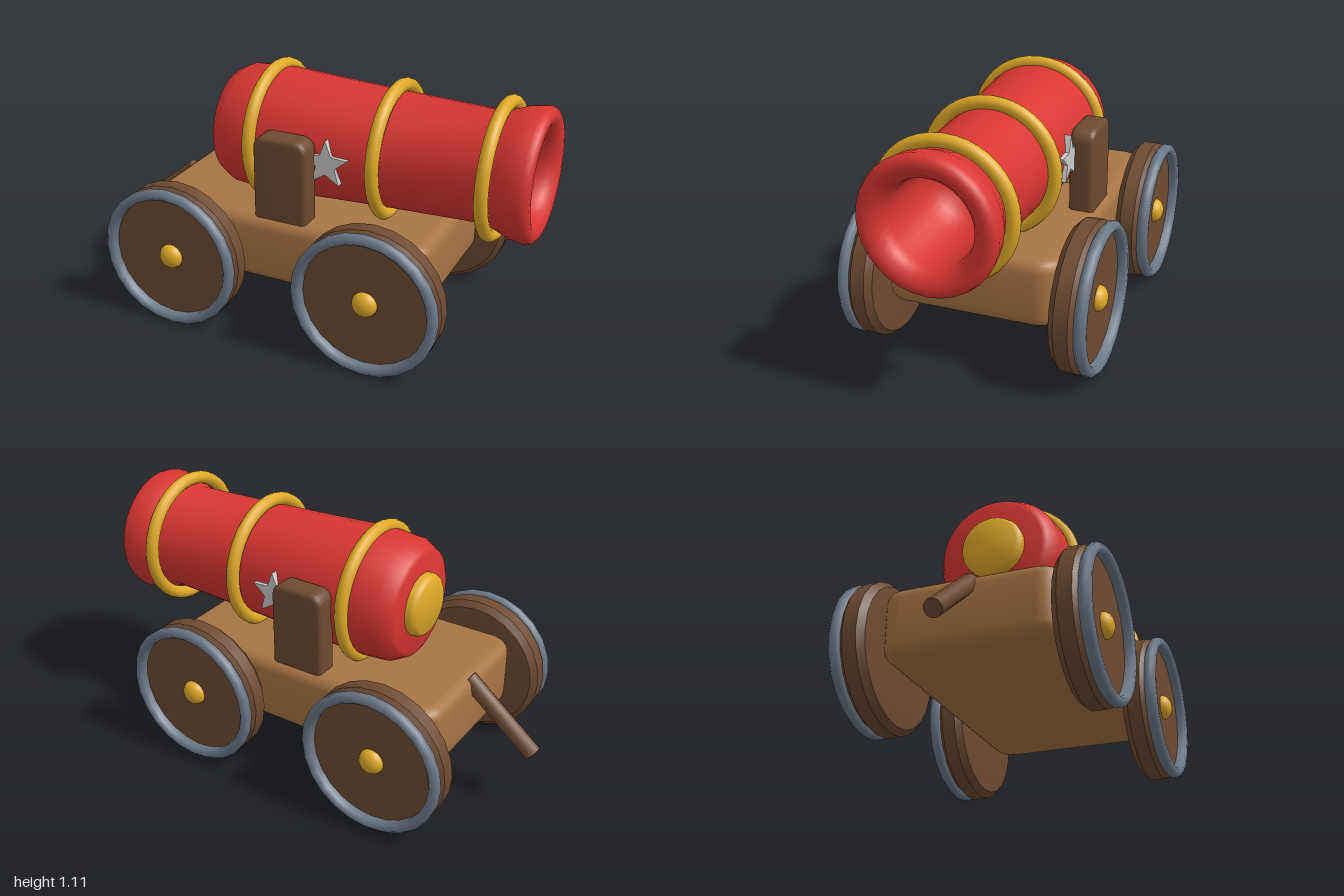
import * as THREE from 'three';
import { toCreasedNormals } from 'three/addons/utils/BufferGeometryUtils.js';

const mat = (color) => new THREE.MeshStandardMaterial({ color });
const red = mat(0xd93632), gold = mat(0xe0aa28), wood = mat(0xa87544);
const darkWood = mat(0x6e4a31), iron = mat(0x6c7887), silver = mat(0xcccccc);

function part(parent, name, geometry, material, x = 0, y = 0, z = 0) {
  const mesh = new THREE.Mesh(geometry, material);
  mesh.name = name;
  mesh.position.set(x, y, z);
  parent.add(mesh);
  return mesh;
}

// Turned solid around y from [radius, height] pairs, going up on the outside
function turned(points, sides, crease = 0.6) {
  const profile = points.map(([r, h]) => new THREE.Vector2(r, h));
  return toCreasedNormals(new THREE.LatheGeometry(profile, sides), crease);
}

// Rounded slab w by h, thickness d along z, with soft bevelled edges, centred
function slab(w, h, d, radius, bevel) {
  const a = w / 2 - bevel, b = h / 2 - bevel, r = Math.max(radius - bevel, 0.005);
  const s = new THREE.Shape();
  s.absarc(a - r, b - r, r, 0, Math.PI / 2);
  s.absarc(-a + r, b - r, r, Math.PI / 2, Math.PI);
  s.absarc(-a + r, -b + r, r, Math.PI, Math.PI * 1.5);
  s.absarc(a - r, -b + r, r, Math.PI * 1.5, Math.PI * 2);
  const g = new THREE.ExtrudeGeometry(s, {
    depth: d - 2 * bevel, bevelEnabled: true, bevelSize: bevel,
    bevelThickness: bevel, bevelSegments: 4, curveSegments: 6,
  });
  g.translate(0, 0, -d / 2 + bevel);
  return toCreasedNormals(g, 0.7);
}

function starGeometry(outer, inner, depth) {
  const s = new THREE.Shape();
  for (let i = 0; i < 10; i++) {
    const r = i % 2 ? inner : outer, t = Math.PI / 2 + (i * Math.PI) / 5;
    s[i ? 'lineTo' : 'moveTo'](r * Math.cos(t), r * Math.sin(t));
  }
  s.closePath();
  return new THREE.ExtrudeGeometry(s, { depth, bevelEnabled: false });
}

// Wheel with its axle along z, outer face towards +z
function makeWheel() {
  const wheel = new THREE.Group();
  wheel.name = 'wheel';
  const disc = turned([[0, -0.08], [0.27, -0.08], [0.295, -0.077], [0.32, -0.05],
    [0.32, 0.01], [0.295, 0.035], [0, 0.035]], 24);
  part(wheel, 'wheelDisc', disc.rotateX(Math.PI / 2), darkWood);
  const tyre = turned([[0.278, 0.025], [0.305, 0.028], [0.32, 0.042], [0.32, 0.064],
    [0.305, 0.078], [0.288, 0.078], [0.276, 0.064], [0.278, 0.025]], 24, 0.9);
  part(wheel, 'tyre', tyre.rotateX(Math.PI / 2), iron);
  const hub = new THREE.SphereGeometry(0.055, 20, 12).scale(1, 1, 0.75);
  part(wheel, 'hub', hub, gold, 0, 0, 0.035);
  return wheel;
}

export function createModel() {
  const model = new THREE.Group();
  model.name = 'toyCannon';

  // Carriage bed
  const bed = slab(1.32, 0.76, 0.295, 0.1, 0.05).rotateX(-Math.PI / 2);
  part(model, 'carriage', bed, wood, -0.03, 0.3875, 0);

  // Tail handle, sloping down behind the bed
  const low = new THREE.Vector3(-0.97, 0.255, 0), high = new THREE.Vector3(-0.655, 0.515, 0);
  const along = high.clone().sub(low);
  const tail = part(model, 'tailHandle',
    toCreasedNormals(new THREE.CylinderGeometry(0.038, 0.038, along.length(), 10), 0.7), darkWood);
  tail.position.copy(low).add(high).multiplyScalar(0.5);
  tail.quaternion.setFromUnitVectors(new THREE.Vector3(0, 1, 0), along.normalize());

  // Wheels, uprights and stars on both sides
  for (const side of [1, -1]) {
    for (const x of [-0.485, 0.43]) {
      const wheel = makeWheel();
      wheel.position.set(x, 0.322, side * 0.455);
      if (side < 0) wheel.rotation.y = Math.PI;
      model.add(wheel);
    }
    part(model, 'upright', slab(0.245, 0.42, 0.108, 0.055, 0.022), darkWood,
      -0.025, 0.688, side * 0.299);
    const star = part(model, 'star', starGeometry(0.104, 0.045, 0.05), silver,
      0.148, 0.79, side * 0.222);
    if (side < 0) star.rotation.y = Math.PI;
  }

  // Barrel with flared, rolled muzzle and hollow bore
  const barrel = new THREE.Group();
  barrel.name = 'barrel';
  barrel.position.y = 0.795;
  model.add(barrel);
  const tube = turned([[0, -0.415], [0.215, -0.415], [0.235, -0.405], [0.268, -0.345],
    [0.279, -0.2], [0.262, 0.1], [0.25, 0.36], [0.234, 0.8], [0.255, 0.85],
    [0.274, 0.9], [0.284, 0.965], [0.277, 0.987], [0.258, 1], [0.235, 1],
    [0.205, 0.985], [0.185, 0.96], [0.176, 0.92], [0.174, 0.65],
    [0.15, 0.58], [0.09, 0.53], [0, 0.51]], 32, 0.75);
  part(barrel, 'barrelTube', tube.rotateZ(-Math.PI / 2), red);

  // Breech cap
  const cap = turned([[0, -0.462], [0.115, -0.46], [0.13, -0.45], [0.137, -0.435],
    [0.137, -0.4], [0, -0.4]], 28);
  part(barrel, 'breechCap', cap.rotateZ(-Math.PI / 2), gold);

  // Gold bands
  for (const [x, r] of [[-0.203, 0.284], [0.357, 0.276], [0.815, 0.276]]) {
    const band = new THREE.TorusGeometry(r, 0.029, 12, 40).rotateY(Math.PI / 2);
    part(barrel, 'band', band, gold, x);
  }
  return model;
}
